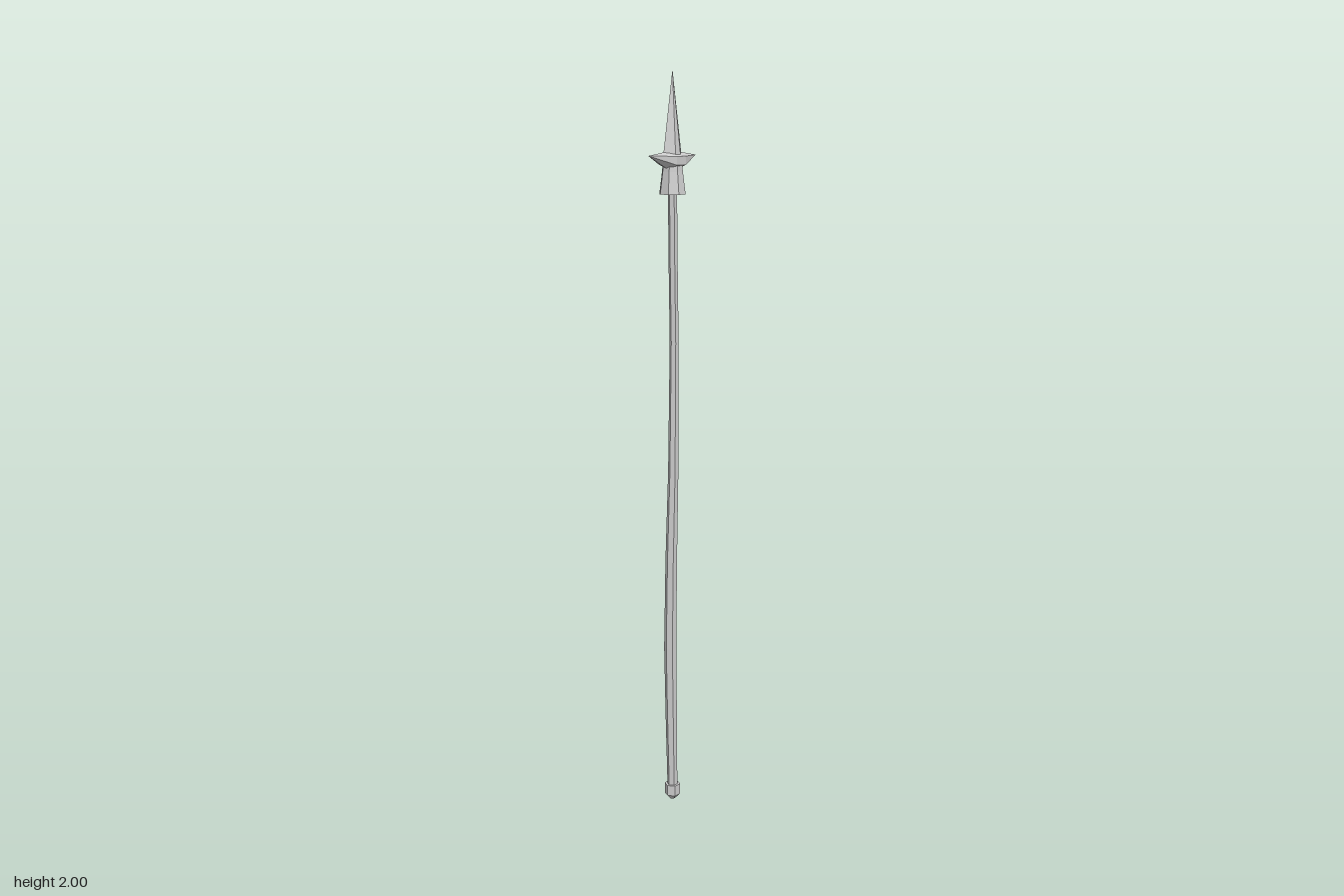
import * as THREE from 'three';

const material = new THREE.MeshStandardMaterial({ color: 0xcccccc, flatShading: true });

// Skin a row of equal-sized loops, each counter-clockwise about the loft axis, with capped ends
function loft(name, loops) {
  const pos = [];
  const tri = (a, b, c) => pos.push(...a, ...b, ...c);
  const n = loops[0].length;
  for (let i = 0; i < loops.length - 1; i++) {
    for (let j = 0; j < n; j++) {
      const k = (j + 1) % n;
      tri(loops[i][j], loops[i][k], loops[i + 1][k]);
      tri(loops[i][j], loops[i + 1][k], loops[i + 1][j]);
    }
  }
  const first = loops[0], last = loops[loops.length - 1];
  for (let j = 1; j < n - 1; j++) {
    tri(first[0], first[j + 1], first[j]);
    tri(last[0], last[j], last[j + 1]);
  }
  const geometry = new THREE.BufferGeometry();
  geometry.setAttribute('position', new THREE.Float32BufferAttribute(pos, 3));
  geometry.computeVertexNormals();
  const mesh = new THREE.Mesh(geometry, material);
  mesh.name = name;
  return mesh;
}

// Horizontal hexagon with corners at its left and right
function hexRing(y, r, cx = 0, cz = 0) {
  return Array.from({ length: 6 }, (_, i) => {
    const a = (i / 6) * Math.PI * 2;
    return [cx + r * Math.cos(a), y, cz - r * Math.sin(a)];
  });
}

// Horizontal octagon with flat sides facing front, back, left and right
function octRing(y, apothem) {
  const r = apothem / Math.cos(Math.PI / 8);
  return Array.from({ length: 8 }, (_, i) => {
    const a = ((i + 0.5) / 8) * Math.PI * 2;
    return [r * Math.cos(a), y, -r * Math.sin(a)];
  });
}

// Flattened hexagon for the blade
function bladeRing(y, s) {
  const outline = [[0.037, 0], [0.01, -0.019], [-0.01, -0.019], [-0.037, 0], [-0.01, 0.019], [0.01, 0.019]];
  return outline.map(([x, z]) => [x * s, y, z * s]);
}

// Upright section of the cross spikes with a ridge above and below, shrinking to the points
function guardRing(x, s) {
  const tipY = 1.786;
  const outline = [[-0.03, 1.762], [-0.03, 1.784], [0, 1.796], [0.03, 1.784], [0.03, 1.762], [0, 1.75]];
  return outline.map(([z, y]) => [x, tipY + (y - tipY) * s, z * s]);
}

export function createModel() {
  const group = new THREE.Group();
  group.name = 'spear';

  // Slightly crooked wooden shaft: height, radius, x offset, z offset
  const bends = [
    [0.03, 0.014, -0.001, 0.001],
    [0.25, 0.016, -0.004, -0.001],
    [0.45, 0.017, -0.006, -0.003],
    [0.7, 0.016, -0.004, -0.001],
    [0.95, 0.014, 0.001, 0.002],
    [1.3, 0.012, 0.006, 0.001],
    [1.5, 0.012, 0.003, 0],
    [1.71, 0.012, 0, 0],
  ];
  group.add(loft('shaft', bends.map(([y, r, x, z]) => hexRing(y, r, x, z))));

  // Butt cap with a bevelled underside
  group.add(loft('buttCap', [hexRing(0, 0.008), hexRing(0.014, 0.022), hexRing(0.044, 0.022)]));

  // Socket flaring toward the shaft
  group.add(loft('socket', [octRing(1.687, 0.033), octRing(1.745, 0.026), octRing(1.785, 0.023)]));

  // Cross spikes
  const spikes = [[-0.095, 0.01], [-0.018, 1], [0.018, 1], [0.095, 0.01]];
  group.add(loft('crossSpikes', spikes.map(([x, s]) => guardRing(x, s))));

  // Blade
  group.add(loft('blade', [bladeRing(1.785, 1), bladeRing(2, 0.005)]));

  return group;
}
